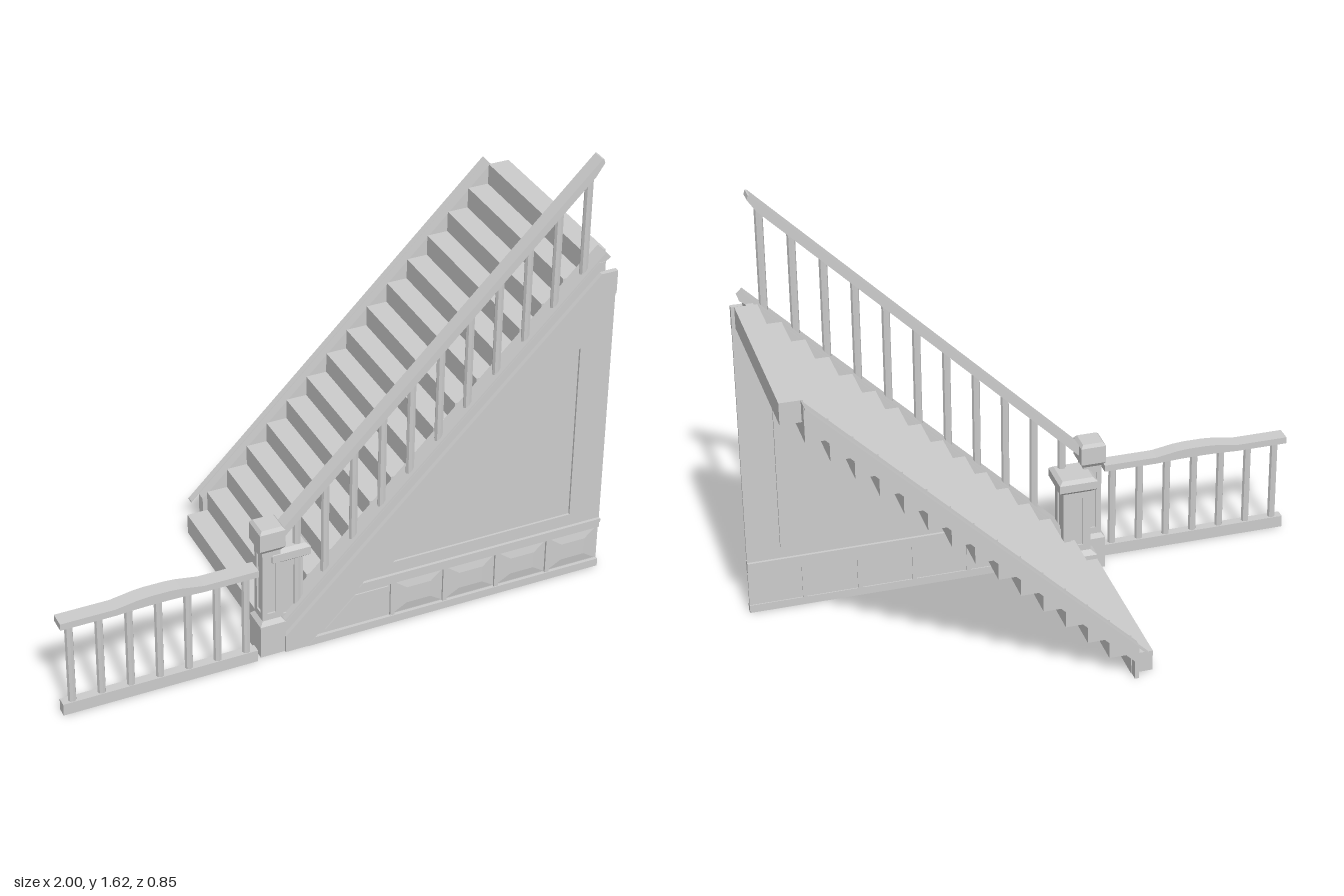
import * as THREE from 'three';

export function createModel() {
  const model = new THREE.Group();
  const mat = new THREE.MeshStandardMaterial({ color: 0xcccccc, flatShading: true, side: THREE.DoubleSide });

  const add = (name, geo, parent = model) => {
    const mesh = new THREE.Mesh(geo, mat);
    mesh.name = name;
    parent.add(mesh);
    return mesh;
  };
  const group = (name) => {
    const g = new THREE.Group();
    g.name = name;
    model.add(g);
    return g;
  };
  // Box given by its two extreme corners
  const box = (name, x0, x1, y0, y1, z0, z1, parent) => {
    const geo = new THREE.BoxGeometry(x1 - x0, y1 - y0, z1 - z0);
    geo.translate((x0 + x1) / 2, (y0 + y1) / 2, (z0 + z1) / 2);
    return add(name, geo, parent);
  };
  const points = (pts) => pts.map(([x, y]) => new THREE.Vector2(x, y));
  // Side outline extruded from z0 to z1, with optional holes
  const slab = (name, pts, z0, z1, parent, holes = []) => {
    const shape = new THREE.Shape(points(pts));
    holes.forEach((h) => shape.holes.push(new THREE.Path(points(h))));
    const geo = new THREE.ExtrudeGeometry(shape, { depth: z1 - z0, bevelEnabled: false });
    geo.translate(0, 0, z0);
    return add(name, geo, parent);
  };
  // Four-sided frustum with half widths at bottom and top
  const frustum = (name, x, z, y0, y1, r0, r1, parent) => {
    const geo = new THREE.CylinderGeometry(r1 * Math.SQRT2, r0 * Math.SQRT2, y1 - y0, 4);
    geo.rotateY(Math.PI / 4);
    geo.translate(x, (y0 + y1) / 2, z);
    return add(name, geo, parent);
  };
  const baluster = (x, y0, y1, z, parent) => {
    const geo = new THREE.CylinderGeometry(0.0145, 0.0145, y1 - y0, 8);
    geo.translate(x, (y0 + y1) / 2, z);
    add('baluster', geo, parent);
  };

  // Steps: a diagonal stack of blocks, each as deep as it is high
  const steps = group('steps');
  const size = 0.0775, zBack = -0.365;
  for (let i = 0; i < 16; i++) {
    const x = -0.24 + i * size, y = i * size;
    box('step', x, x + size, y, y + size, zBack, 0.318, steps);
  }

  // Back stringer with its thin outer flange
  slab('backStringer', [[-0.18, 0], [-0.165, 0], [-0.165, 0.07], [0.93, 1.17], [0.93, 1.24], [-0.18, 0.13]], -0.4, zBack);
  slab('backFlange', [[-0.21, 0.1], [0.93, 1.235], [0.93, 1.24], [-0.21, 0.105]], -0.425, -0.4);

  // Front stringer, its cap and the sloping face board
  slab('frontStringer', [[-0.2, 0.08], [-0.1, 0.08], [-0.1, 0.115], [0.96, 1.175], [0.96, 1.24], [0.935, 1.24], [-0.2, 0.105]], 0.318, 0.39);
  slab('stringerCap', [[-0.2, 0.085], [0.935, 1.22], [0.98, 1.253], [0.96, 1.273], [-0.2, 0.115]], 0.33, 0.388);
  slab('faceBoard', [[-0.2, 0], [-0.12, 0], [1, 1.12], [1, 1.205], [0.94, 1.205], [-0.2, 0.065]], 0.388, 0.406);

  // Triangular side panel: thin sheet with a sunken field
  const panel = group('sidePanel');
  const field = [[0.2, 0.25], [0.88, 0.25], [0.88, 0.93]];
  slab('panelFrame', [[0.08, 0.2], [1, 0.2], [1, 1.12]], 0.39, 0.399, panel, [field]);
  slab('panelField', field, 0.382, 0.391, panel);
  slab('panelMoulding', [[0.07, 0.19], [1, 0.19], [1, 0.204], [0.084, 0.204]], 0.38, 0.41, panel);

  // Baseboard with a row of low raised fields
  const base = group('baseboard');
  slab('board', [[-0.12, 0], [1, 0], [1, 0.195], [0.075, 0.195]], 0.388, 0.396, base);
  slab('skirting', [[-0.12, 0], [1, 0], [1, 0.03], [-0.09, 0.03]], 0.384, 0.408, base);
  slab('topStrip', [[0.045, 0.165], [1, 0.165], [1, 0.195], [0.075, 0.195]], 0.384, 0.404, base);
  for (let i = 0; i < 4; i++) {
    const x0 = 0.2 + i * 0.2;
    box('divider', x0 - 0.008, x0 + 0.008, 0.03, 0.165, 0.384, 0.404, base);
    const geo = new THREE.CylinderGeometry(0.35, Math.SQRT1_2, 1, 4);
    geo.rotateY(Math.PI / 4);
    geo.rotateX(Math.PI / 2);
    geo.scale(0.182, 0.13, 0.006);
    geo.translate(x0 + 0.1, 0.0975, 0.399);
    add('raisedField', geo, base);
  }
  slab('cornerField', [[-0.05, 0.045], [0.185, 0.045], [0.185, 0.155], [0.06, 0.155]], 0.394, 0.401, base);

  // Sloping handrail and its balusters
  const rail = group('stairRailing');
  slab('handrail', [[-0.2, 0.46], [0.905, 1.565], [0.935, 1.61], [0.93, 1.625], [0.925, 1.625], [-0.2, 0.5]], 0.335, 0.385, rail);
  for (let i = 0; i < 11; i++) {
    const x = -0.14 + i * 0.1035;
    baluster(x, x + 0.3, x + 0.675, 0.36, rail);
  }

  // Newel posts: base, tapered collar, shaft with sunken faces, cap
  const newel = (name, x, z, half, yBase, yCap, yTop) => {
    const g = group(name);
    const s = half * 0.72;
    frustum('newelBase', x, z, 0, yBase - 0.01, half, half, g);
    frustum('newelCollar', x, z, yBase - 0.01, yBase + 0.005, half, s, g);
    frustum('newelCore', x, z, yBase, yCap, s - 0.006, s - 0.006, g);
    const w = s * 0.28;
    for (const sx of [-1, 1]) for (const sz of [-1, 1])
      frustum('newelStile', x + sx * (s - w), z + sz * (s - w), yBase, yCap, w, w, g);
    frustum('newelRail', x, z, yBase, yBase + 0.03, s, s, g);
    frustum('newelRail', x, z, yCap - 0.03, yCap, s, s, g);
    frustum('capUnderside', x, z, yCap - 0.005, yCap + 0.012, s, half, g);
    frustum('newelCap', x, z, yCap + 0.012, yTop - 0.012, half, half, g);
    frustum('capTop', x, z, yTop - 0.012, yTop, half, half * 0.8, g);
  };
  newel('tallNewel', -0.243, 0.353, 0.046, 0.135, 0.425, 0.515);
  newel('shortNewel', -0.17, 0.318, 0.07, 0.105, 0.358, 0.412);

  // Level railing with a raised middle in the top rail
  const fence = group('levelRailing');
  box('bottomRail', -1, -0.305, 0, 0.045, 0.378, 0.412, fence);
  const hump = [[-0.305, 0], [-0.5, 0], [-0.58, 0.013], [-0.62, 0.016], [-0.69, 0.016], [-0.73, 0.013], [-0.81, 0], [-1, 0]];
  const topEdge = hump.map(([x, h]) => [x, 0.385 + h]);
  const lowEdge = hump.map(([x, h]) => [x, 0.36 + h * 0.3]).reverse();
  slab('topRail', [...lowEdge, ...topEdge], 0.368, 0.425, fence);
  for (let i = 0; i < 7; i++) baluster(-0.963 + i * 0.1035, 0.04, 0.365, 0.396, fence);

  return model;
}
